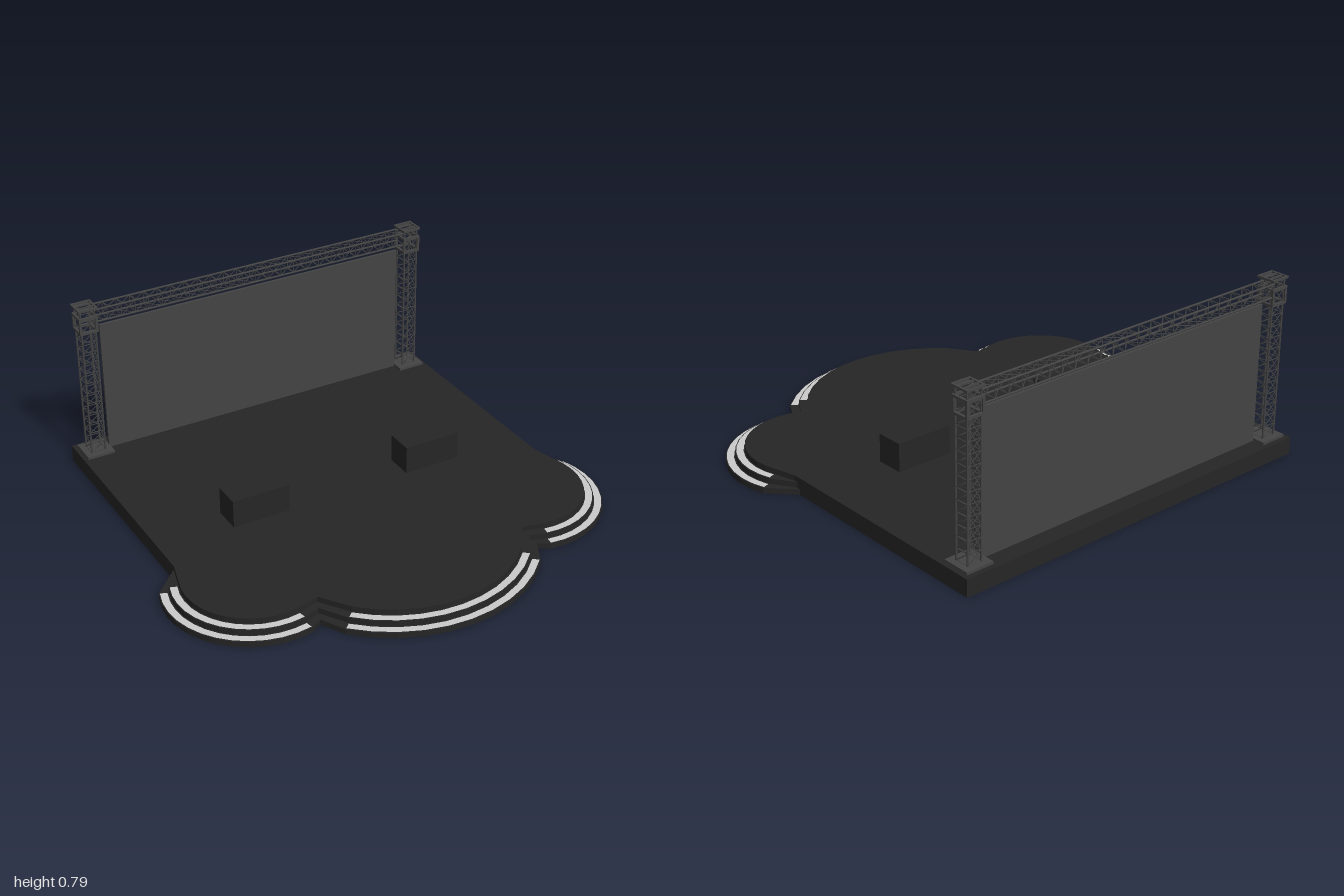
import * as THREE from 'three';
import { mergeGeometries } from 'three/addons/utils/BufferGeometryUtils.js';

const V = (x, y, z) => new THREE.Vector3(x, y, z);
const mat = (color, side = THREE.FrontSide) => new THREE.MeshStandardMaterial({ color, side });
const deckMat = mat(0x262626, THREE.DoubleSide);
const stripMat = mat(0xcccccc, THREE.DoubleSide);
const boxMat = mat(0x262626);
const screenMat = mat(0x444444);
const metalMat = mat(0x444444);

const STEP = 0.025, TREAD = 0.04, DEG = Math.PI / 180;

function named(name, geometry, material) {
  const mesh = new THREE.Mesh(geometry, material);
  mesh.name = name;
  return mesh;
}

// Arc in plan; angle 0 points to the front, positive towards +x
function arc(cx, r, from, to, n) {
  return Array.from({ length: n + 1 }, (_, i) => {
    const a = (from + (to - from) * i / n) * DEG;
    return [cx + r * Math.sin(a), 0.31 + r * Math.cos(a)];
  });
}
const sideArc = (inset) => arc(0.63, 0.37 - inset, 110, -11, 12);
const centreArc = (inset) => arc(0, 0.63 - inset, 46, -46, 10);
const mirror = (pts) => pts.map(([x, z]) => [-x, z]).reverse();

// Deck outline: straight back and sides, three round lobes at the front
function outline(inset) {
  const t = inset / (2 * TREAD);
  const half = [
    [0.875, -0.945], [0.875, 0.08 + 0.03 * t],
    ...sideArc(inset),
    [0.51 - 0.03 * t, 0.645 - 0.075 * t],
  ];
  return [...half, ...centreArc(inset), ...mirror(half)];
}

// Flat-shaded band between two plan lines at two heights
function ribbon(a, ya, b, yb) {
  const pos = [];
  for (let i = 0; i < a.length - 1; i++) {
    const p = [a[i][0], ya, a[i][1]], q = [a[i + 1][0], ya, a[i + 1][1]];
    const r = [b[i][0], yb, b[i][1]], s = [b[i + 1][0], yb, b[i + 1][1]];
    pos.push(...p, ...r, ...s, ...p, ...s, ...q);
  }
  const g = new THREE.BufferGeometry();
  g.setAttribute('position', new THREE.Float32BufferAttribute(pos, 3));
  g.computeVertexNormals();
  return g;
}

function createStage() {
  const stage = new THREE.Group();
  stage.name = 'stage';
  for (let i = 0; i < 3; i++) {
    const inset = i * TREAD, y = (i + 1) * STEP;
    const line = outline(inset), loop = [...line, line[0]];
    stage.add(named('stepRiser', ribbon(loop, i * STEP, loop, y), deckMat));
    if (i === 2) {
      const shape = new THREE.Shape(line.map(([x, z]) => new THREE.Vector2(x, -z)));
      const top = new THREE.ShapeGeometry(shape).rotateX(-Math.PI / 2).translate(0, y, 0);
      stage.add(named('deckTop', top, deckMat));
      continue;
    }
    const inner = outline(inset + TREAD);
    stage.add(named('stepTread', ribbon(line.slice(1, -1), y, inner.slice(1, -1), y), deckMat));
    // Pale strips along the curved treads
    const lo = inset + 0.004, hi = inset + 0.034, ys = y + 0.0015;
    const pairs = [
      [sideArc(lo), sideArc(hi)],
      [centreArc(lo), centreArc(hi)],
      [mirror(sideArc(lo)), mirror(sideArc(hi))],
    ];
    for (const [a, b] of pairs) stage.add(named('stepStrip', ribbon(a, ys, b, ys), stripMat));
  }
  return stage;
}

// Round bar between two points
function bar(a, b, r, sides = 6) {
  const d = b.clone().sub(a);
  const q = new THREE.Quaternion().setFromUnitVectors(V(0, 1, 0), d.clone().normalize());
  const m = a.clone().add(b).multiplyScalar(0.5);
  return new THREE.CylinderGeometry(r, r, d.length(), sides).applyQuaternion(q).translate(m.x, m.y, m.z);
}

// Four-chord lattice truss standing on y = 0
function truss(length, width, panels, alternate) {
  const h = width / 2, parts = [];
  const corners = [[-h, h], [h, h], [h, -h], [-h, -h]];
  corners.forEach(([x, z], i) => {
    const [x2, z2] = corners[(i + 1) % 4];
    parts.push(bar(V(x, 0, z), V(x, length, z), 0.0045, 8));
    for (let k = 0; k <= panels; k++) {
      const y = length * k / panels, up = length * (k + 1) / panels;
      parts.push(bar(V(x, y, z), V(x2, y, z2), 0.0022, 5));
      if (k === panels) continue;
      const flip = alternate && k >= panels / 2;
      parts.push(flip ? bar(V(x, up, z), V(x2, y, z2), 0.002, 5) : bar(V(x, y, z), V(x2, up, z2), 0.002, 5));
    }
  });
  return mergeGeometries(parts);
}

// Square ring lying flat, built from four box bars
function squareRing(size, t, y) {
  const o = (size - t) / 2, parts = [];
  for (const s of [-1, 1]) {
    parts.push(new THREE.BoxGeometry(size, t, t).translate(0, y, s * o));
    parts.push(new THREE.BoxGeometry(t, t, size - 2 * t).translate(s * o, y, 0));
  }
  return mergeGeometries(parts);
}

function createTower() {
  const tower = new THREE.Group();
  tower.name = 'tower';
  const base = new THREE.BoxGeometry(0.125, 0.012, 0.125).translate(0, 0.081, 0);
  tower.add(named('basePlate', base, metalMat));
  tower.add(named('towerTruss', truss(0.69, 0.064, 14, false).translate(0, 0.087, 0), metalMat));

  // Open sleeve block around the tower head
  const size = 0.084, t = 0.011, o = (size - t) / 2;
  const sleeve = [squareRing(size, t, 0.675), squareRing(size, t, 0.74)];
  for (const x of [-o, o]) for (const z of [-o, o])
    sleeve.push(new THREE.BoxGeometry(t, 0.065, t).translate(x, 0.7075, z));
  tower.add(named('sleeveBlock', mergeGeometries(sleeve), metalMat));

  // Cap frame with pulley cross bars
  const cap = [squareRing(0.088, 0.009, 0.781)];
  for (const z of [-0.014, 0.014]) cap.push(new THREE.BoxGeometry(0.08, 0.007, 0.007).translate(0, 0.781, z));
  tower.add(named('towerCap', mergeGeometries(cap), metalMat));
  return tower;
}

export function createModel() {
  const model = new THREE.Group();
  model.name = 'concertStage';
  model.add(createStage());

  // Two boxes on the deck
  for (const s of [-1, 1]) {
    const box = named('deckBox', new THREE.BoxGeometry(0.26, 0.125, 0.125), boxMat);
    box.position.set(s * 0.415, 0.1375, -0.0775);
    model.add(box);
  }

  // Back screen
  const screen = named('screen', new THREE.BoxGeometry(1.47, 0.605, 0.012), screenMat);
  screen.position.set(0, 0.3775, -0.86);
  model.add(screen);

  // Towers and the beam between them
  for (const s of [-1, 1]) {
    const tower = createTower();
    tower.position.set(s * 0.795, 0, -0.86);
    model.add(tower);
  }
  const beam = named('beamTruss', truss(1.53, 0.056, 24, true), metalMat);
  beam.rotation.z = Math.PI / 2;
  beam.position.set(0.765, 0.737, -0.865);
  model.add(beam);
  return model;
}
